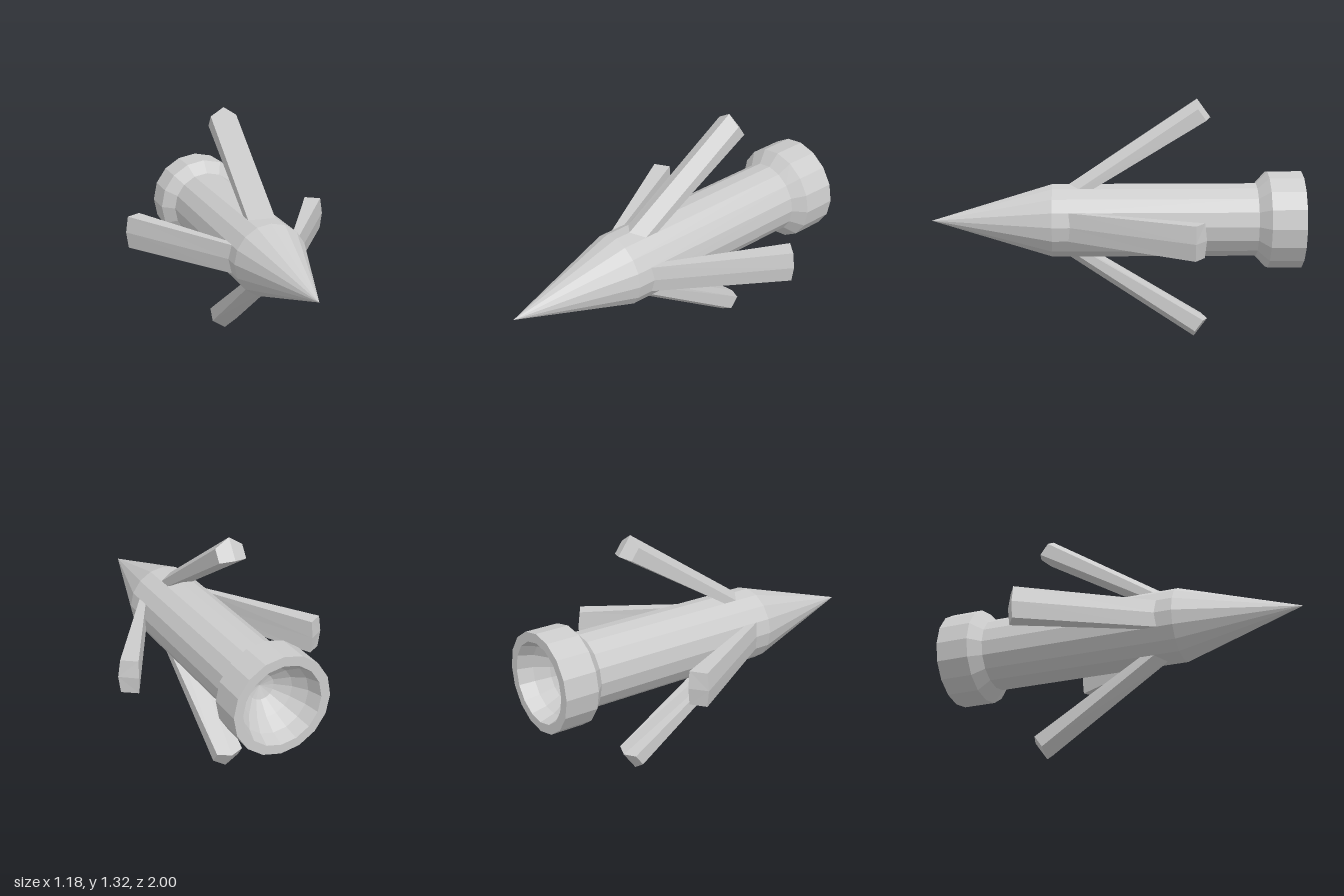
import * as THREE from 'three';

const material = new THREE.MeshStandardMaterial({ color: 0xcccccc, flatShading: true });

// Revolved part along z; points are [radius, z]
function turned(name, points) {
  const geometry = new THREE.LatheGeometry(points.map(([r, z]) => new THREE.Vector2(r, z)), 16);
  geometry.rotateX(Math.PI / 2);
  const mesh = new THREE.Mesh(geometry, material);
  mesh.name = name;
  return mesh;
}

// Six-sided section: outer ridge, outer side, inner side, inner ridge, mirrored; entries are [radius, z]
function section([ridgeOut, sideOut, sideIn, ridgeIn], w) {
  return [
    [0, ...ridgeOut], [w, ...sideOut], [w, ...sideIn],
    [0, ...ridgeIn], [-w, ...sideIn], [-w, ...sideOut],
  ];
}

// Swept-back barb joining a root section to a tip section
function barbGeometry(root, tip) {
  const positions = [...root, ...tip].flat();
  const index = [];
  for (let i = 0; i < 6; i++) {
    const j = (i + 1) % 6;
    index.push(i, j, 6 + j, i, 6 + j, 6 + i);
  }
  for (const [a, b, c, d] of [[0, 1, 2, 3], [0, 3, 4, 5]]) {
    index.push(6 + a, 6 + b, 6 + c, 6 + a, 6 + c, 6 + d);
    index.push(a, c, b, a, d, c);
  }
  const geometry = new THREE.BufferGeometry();
  geometry.setAttribute('position', new THREE.Float32BufferAttribute(positions, 3));
  geometry.setIndex(index);
  const flat = geometry.toNonIndexed();
  flat.computeVertexNormals();
  return flat;
}

export function createModel() {
  const model = new THREE.Group();
  model.name = 'barbedDart';
  model.position.y = 0.66;

  // Shaft, pointed nose and flared tail with a hollow end
  model.add(
    turned('nose', [[0.2, 0.345], [0, 1]]),
    turned('shaft', [[0.2, -0.755], [0.2, 0.345]]),
    turned('tailCollar', [[0.215, -1], [0.265, -1], [0.265, -0.815], [0.2, -0.755]]),
    turned('tailHollow', [[0, -0.77], [0.07, -0.79], [0.14, -0.85], [0.19, -0.92], [0.215, -1]]),
  );

  // Upper and lower barbs are ridged, the side ones are flatter and shorter
  const ridged = barbGeometry(
    section([[0.19, 0.27], [0.14, 0.27], [0.115, 0.24], [0.125, 0.235]], 0.075),
    section([[0.66, -0.43], [0.612, -0.43], [0.55, -0.475], [0.56, -0.503]], 0.075),
  );
  const flatter = barbGeometry(
    section([[0.19, 0.265], [0.18, 0.265], [0.155, 0.235], [0.16, 0.23]], 0.077),
    section([[0.59, -0.385], [0.577, -0.385], [0.5, -0.437], [0.504, -0.447]], 0.09),
  );
  ['topBarb', 'rightBarb', 'bottomBarb', 'leftBarb'].forEach((name, i) => {
    const barb = new THREE.Mesh(i % 2 ? flatter : ridged, material);
    barb.name = name;
    barb.rotation.z = i * Math.PI / 2;
    model.add(barb);
  });

  const root = new THREE.Group();
  root.add(model);
  return root;
}
